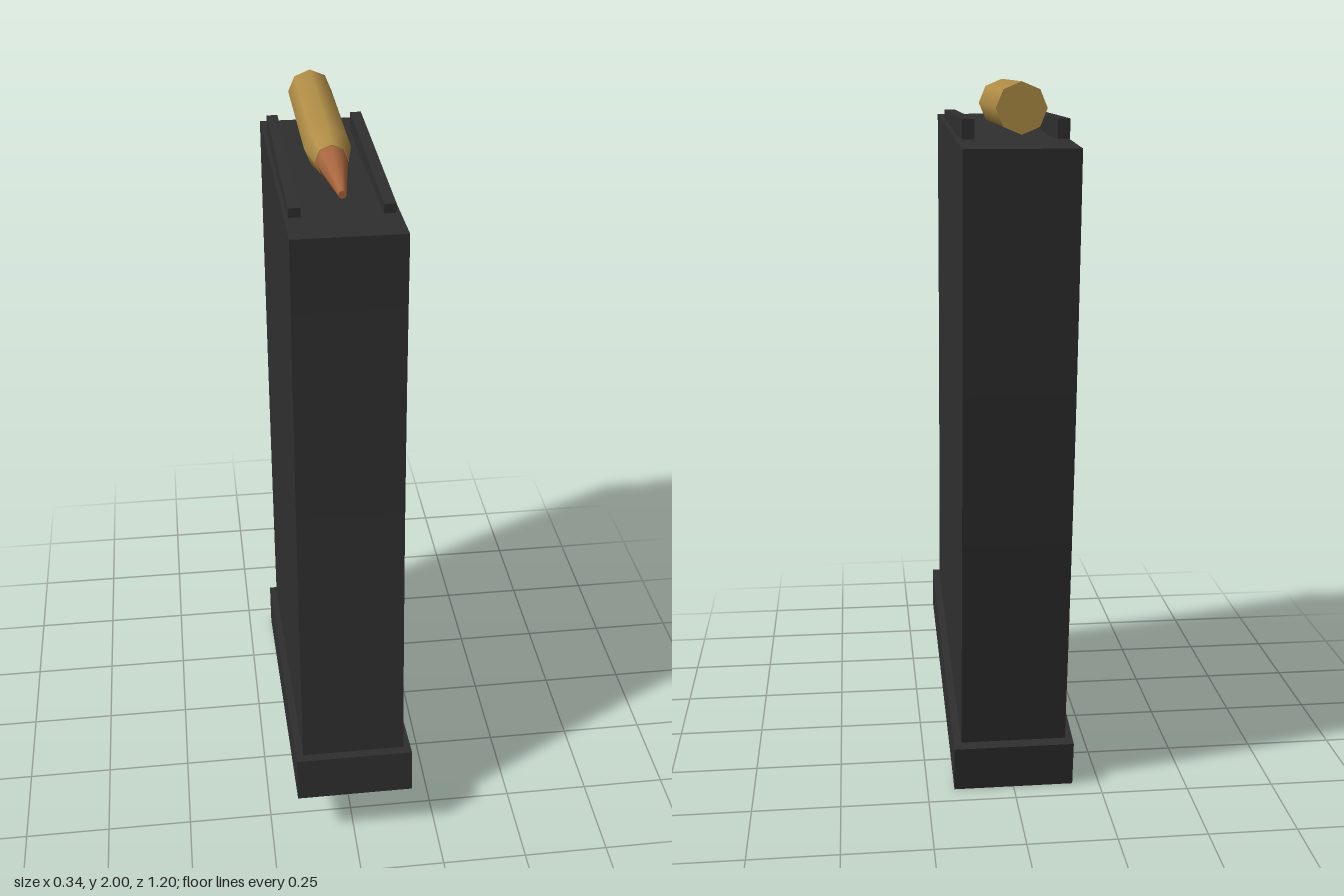
import * as THREE from 'three';

const black = new THREE.MeshStandardMaterial({ color: 0x2f2f2f });
black.name = 'blackMetal';
const brass = new THREE.MeshStandardMaterial({ color: 0xb08d46 });
brass.name = 'brass';
const copper = new THREE.MeshStandardMaterial({ color: 0xa8663f });
copper.name = 'copper';

// Side profile drawn as (z, y), extruded across x and centred
function sideExtrude(shape, width) {
  const geo = new THREE.ExtrudeGeometry(shape, { depth: width, bevelEnabled: false, curveSegments: 8 });
  geo.translate(0, 0, -width / 2);
  geo.rotateY(-Math.PI / 2);
  return geo;
}

export function createModel() {
  const group = new THREE.Group();
  const add = (name, geo, mat) => {
    const mesh = new THREE.Mesh(geo, mat);
    mesh.name = name;
    group.add(mesh);
    return mesh;
  };

  // Gently curved box body
  const body = new THREE.Shape();
  body.moveTo(-0.42, 0.12);
  body.lineTo(0.552, 0.28);
  body.quadraticCurveTo(0.424, 1.09, 0.38, 1.887);
  body.lineTo(-0.597, 1.837);
  body.quadraticCurveTo(-0.551, 0.98, -0.42, 0.12);
  add('body', sideExtrude(body, 0.302), black);

  // Tilted floor plate
  const base = new THREE.Shape();
  base.moveTo(-0.435, 0);
  base.lineTo(0.6, 0.168);
  base.lineTo(0.58, 0.3);
  base.lineTo(-0.455, 0.136);
  base.closePath();
  add('floorPlate', sideExtrude(base, 0.345), black);

  // Feed lips on either side of the top
  for (const side of [1, -1]) {
    const rail = add(side > 0 ? 'leftFeedLip' : 'rightFeedLip', new THREE.BoxGeometry(0.032, 0.052, 0.686), black);
    rail.position.set(side * 0.124, 1.879, -0.112);
  }

  // Cartridge sections along z, from rear to front
  const section = (name, z0, z1, r0, r1, mat, open) => {
    const geo = new THREE.CylinderGeometry(r1, r0, z1 - z0, 8, 1, open);
    geo.rotateX(Math.PI / 2);
    add(name, geo, mat).position.set(0, 1.935, (z0 + z1) / 2);
  };
  section('case', -0.57, -0.1, 0.065, 0.065, brass, false);
  section('caseShoulder', -0.1, 0, 0.065, 0.046, brass, false);
  section('bullet', 0, 0.23, 0.044, 0.011, copper, false);

  return group;
}
